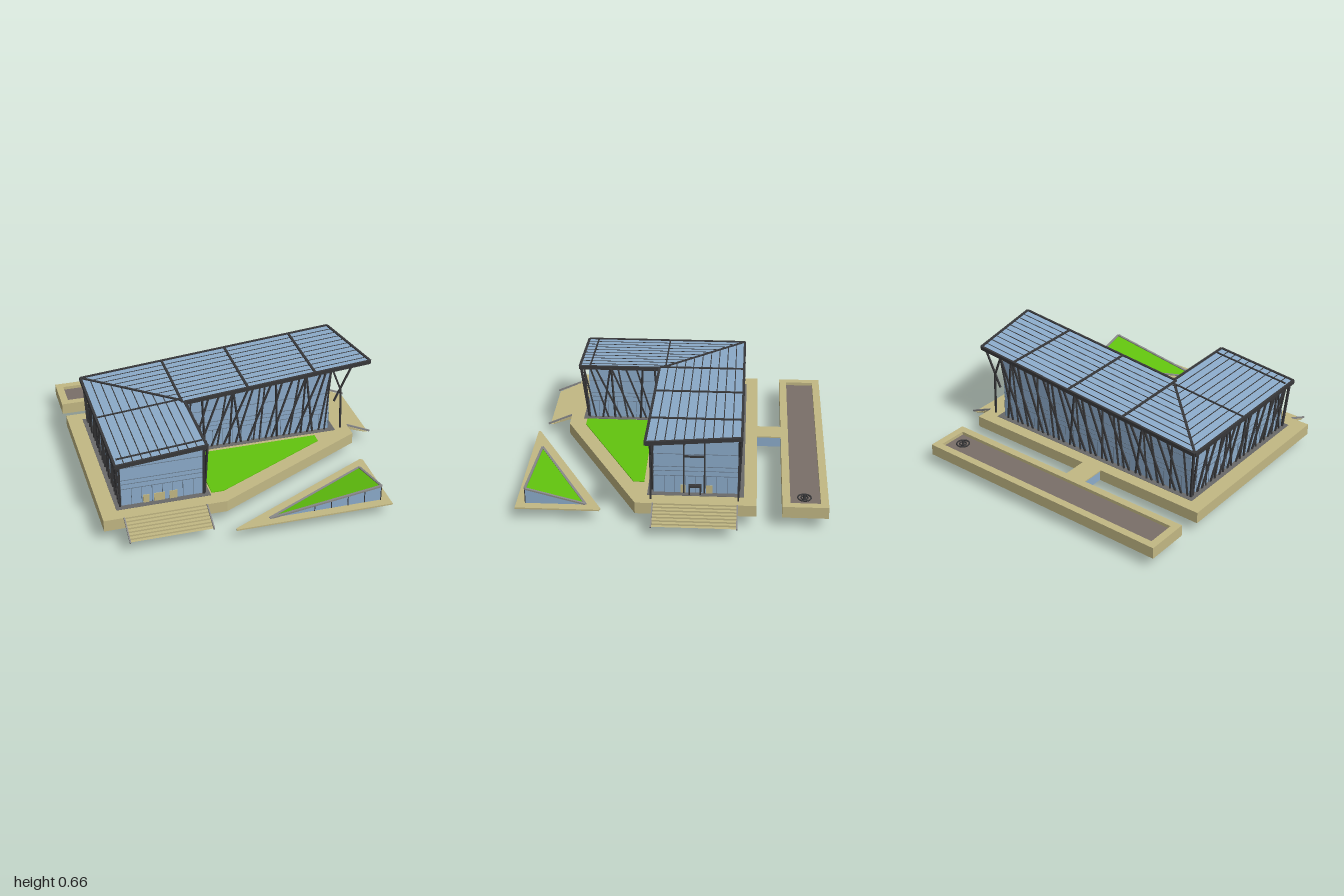
import * as THREE from 'three';

const mat = (color, extra = {}) => new THREE.MeshStandardMaterial({ color, ...extra });
const M = {
  tan: mat(0xc2b884), glass: mat(0x8caccb), dark: mat(0x38383a), line: mat(0x66788a),
  grass: mat(0x62c40e), water: mat(0x7a6f68), floor: mat(0x6a6a6a), trim: mat(0x8a8a8a),
};
const DECK = 0.162, BASE = 0.085;
const roofY = x => 0.5 + 0.086 * (x + 0.9);

export function createModel() {
  const root = new THREE.Group();
  const add = (name, geo, m, parent = root) => {
    const mesh = new THREE.Mesh(geo, m);
    mesh.name = name;
    parent.add(mesh);
    return mesh;
  };
  const group = name => {
    const g = new THREE.Group();
    g.name = name;
    root.add(g);
    return g;
  };
  const shapeOf = pts => new THREE.Shape(pts.map(p => new THREE.Vector2(...p)));
  const rect = (x0, z0, x1, z1) => [[x0, z0], [x1, z0], [x1, z1], [x0, z1]];

  // horizontal slab from an x/z outline, going down from its top
  const slab = (name, pts, top, thick, m, hole, parent) => {
    const s = shapeOf(pts);
    if (hole) s.holes.push(new THREE.Path(hole.map(p => new THREE.Vector2(...p))));
    const g = new THREE.ExtrudeGeometry(s, { depth: thick, bevelEnabled: false });
    g.rotateX(Math.PI / 2).translate(0, top, 0);
    return add(name, g, m, parent);
  };
  // upright prism from an x/y outline, between two z values
  const prism = (name, pts, z0, z1, m, parent) => {
    const g = new THREE.ExtrudeGeometry(shapeOf(pts), { depth: z1 - z0, bevelEnabled: false });
    return add(name, g.translate(0, 0, z0), m, parent);
  };
  // square bar between two points
  const bar = (name, a, b, w, h, m, parent) => {
    const A = new THREE.Vector3(...a), B = new THREE.Vector3(...b);
    const mesh = add(name, new THREE.BoxGeometry(w, h, A.distanceTo(B)), m, parent);
    mesh.position.copy(A).lerp(B, 0.5);
    mesh.lookAt(B);
    return mesh;
  };
  const box = (name, x0, x1, y0, y1, z0, z1, m, parent) => {
    const mesh = add(name, new THREE.BoxGeometry(x1 - x0, y1 - y0, z1 - z0), m, parent);
    mesh.position.set((x0 + x1) / 2, (y0 + y1) / 2, (z0 + z1) / 2);
    return mesh;
  };

  // platform: thin deck on a ring of walls, open underneath
  const outline = [[-1, -0.54], [0.83, -0.54], [0.83, 0.22], [-0.21, 0.76], [-1, 0.76]];
  const inner = [[-0.99, -0.53], [0.82, -0.53], [0.82, 0.214], [-0.212, 0.75], [-0.99, 0.75]];
  slab('platformDeck', outline, DECK, 0.008, M.tan);
  slab('platformWalls', outline, DECK - 0.008, DECK - 0.008 - BASE, M.tan, inner);
  const foot = [[-0.9, -0.46], [0.73, -0.46], [0.73, 0.15], [-0.29, 0.15], [-0.29, 0.67], [-0.9, 0.67]];
  slab('buildingFloor', foot, DECK + 0.002, 0.014, M.floor);
  slab('lawn', [[-0.28, 0.18], [0.57, 0.18], [0.57, 0.25], [-0.2, 0.645], [-0.28, 0.645]],
    DECK + 0.005, 0.006, M.grass);

  // pool with its bridge and fountain
  slab('poolWalls', rect(-1, -0.99, 0.83, -0.7), DECK, DECK - BASE, M.tan, rect(-0.95, -0.94, 0.78, -0.75));
  slab('poolWater', rect(-0.95, -0.94, 0.78, -0.75), 0.14, 0.02, M.water);
  slab('bridgeDeck', rect(-0.24, -0.7, -0.09, -0.54), DECK, 0.008, M.tan);
  box('bridgeGlass', -0.235, -0.095, BASE, DECK - 0.008, -0.7, -0.54, M.glass);
  for (const r of [0.042, 0.022]) {
    const ring = add('fountainRing', new THREE.TorusGeometry(r, 0.005, 6, 20), M.dark);
    ring.rotation.x = Math.PI / 2;
    ring.position.set(0.69, 0.15, -0.84);
  }
  add('fountainJet', new THREE.CylinderGeometry(0.006, 0.01, 0.04, 10), M.dark).position.set(0.69, 0.155, -0.84);

  // entrance stairs, running out along +x and then turned for the front flight
  const stairs = (name) => {
    const g = group(name), n = 7, run = 0.155 / n, rise = (DECK - BASE) / n, w = 0.265;
    const pts = [[0, DECK - rise]];
    for (let i = 0; i < n; i++) {
      pts.push([(i + 1) * run, DECK - (i + 1) * rise]);
      if (i < n - 1) pts.push([(i + 1) * run, DECK - (i + 2) * rise]);
    }
    pts.push([0.14, BASE - 0.001], [0, DECK - 0.03]);
    prism('steps', pts, -w, w, M.tan, g);
    for (const s of [-1, 1])
      bar('stringer', [0, DECK, s * w], [0.168, BASE + 0.004, s * w], 0.008, 0.012, M.trim, g);
    return g;
  };
  stairs('sideStairs').position.set(0.83, 0, -0.155);
  const front = stairs('frontStairs');
  front.rotation.y = -Math.PI / 2;
  front.position.set(-0.605, 0, 0.76);

  // glazed L-shaped building under the sloping roof
  const wallTop = x => roofY(x) - 0.008;
  const profile = (x0, x1) => [[x0, DECK], [x1, DECK], [x1, wallTop(x1)], [x0, wallTop(x0)]];
  prism('mainHall', profile(-0.86, 0.69), -0.42, 0.11, M.glass);
  prism('frontWing', profile(-0.86, -0.33), 0.11, 0.63, M.glass);

  // fine glazing bars on every wall: start, end in x/z
  const walls = [
    [[-0.86, 0.632], [-0.33, 0.632]], [[-0.328, 0.63], [-0.328, 0.11]], [[-0.33, 0.112], [0.69, 0.112]],
    [[0.692, 0.11], [0.692, -0.42]], [[0.69, -0.422], [-0.86, -0.422]], [[-0.862, -0.42], [-0.862, 0.63]],
  ];
  const glazing = group('glazingBars');
  for (const [[x0, z0], [x1, z1]] of walls) {
    const n = Math.round(Math.hypot(x1 - x0, z1 - z0) / 0.066);
    for (let i = 0; i <= n; i++) {
      const x = x0 + (x1 - x0) * i / n, z = z0 + (z1 - z0) * i / n;
      bar('mullion', [x, DECK, z], [x, 0.285, z], 0.003, 0.003, M.line, glazing);
    }
    for (const y of [0.285, 0.32, 0.35, 0.44])
      bar('transom', [x0, y, z0], [x1, y, z1], 0.003, 0.003, M.line, glazing);
  }

  // doors on the front wing and the hall end
  const doors = group('doors');
  for (const [a, b] of [[-0.72, -0.68], [-0.65, -0.58], [-0.55, -0.5]])
    box('frontDoor', a, b, DECK, 0.22, 0.63, 0.635, M.tan, doors);
  for (const [a, b] of [[-0.26, -0.22], [-0.09, -0.06]])
    box('sideDoor', 0.69, 0.695, DECK, 0.22, a, b, M.tan, doors);
  for (const z of [-0.185, -0.115]) box('portalPost', 0.69, 0.72, DECK, 0.225, z - 0.005, z + 0.005, M.dark, doors);
  box('portalLintel', 0.69, 0.72, 0.215, 0.227, -0.19, -0.11, M.dark, doors);
  for (const z of [-0.08, -0.21]) box('entrancePost', 0.69, 0.7, DECK, 0.63, z - 0.005, z + 0.005, M.dark, doors);
  box('entranceBeam', 0.69, 0.7, 0.42, 0.432, -0.21, -0.08, M.dark, doors);

  // sloping roof sheet
  const endX = z => 0.936 + (z - 0) * 0.172;
  const roofPts = [[-0.9, -0.44], [endX(-0.44), -0.44], [endX(0.14), 0.14], [-0.32, 0.14], [-0.32, 0.69], [-0.9, 0.69]];
  const roof = slab('roofGlass', roofPts, 0, 0.01, M.glass);
  const p = roof.geometry.attributes.position;
  for (let i = 0; i < p.count; i++) p.setY(i, p.getY(i) + roofY(p.getX(i)));
  roof.geometry.computeVertexNormals();

  // roof edge, ribs, hip and purlins
  const frame = group('roofFrame');
  const rib = (name, x0, z0, x1, z1, w = 0.016, h = 0.026) =>
    bar(name, [x0, roofY(x0) - 0.006, z0], [x1, roofY(x1) - 0.006, z1], w, h, M.dark, frame);
  roofPts.forEach(([x, z], i) => rib('roofEdge', x, z, ...roofPts[(i + 1) % roofPts.length]));
  for (const x of [-0.335, 0.11, 0.575]) rib('roofRib', x, -0.44, x, 0.14);
  rib('wingRib', -0.9, 0.1, -0.33, 0.1, 0.01);
  rib('wingRib', -0.88, 0.62, -0.33, 0.62, 0.01);
  rib('roofHip', -0.89, -0.43, -0.34, 0.11);
  for (let i = 1; i < 10; i++) {
    const z = -0.44 + i * 0.058, x = -0.9 + i * 0.058;
    rib('hallPurlin', x, z, endX(z), z, 0.006, 0.016);
    rib('wingPurlin', x, z, x, 0.69, 0.006, 0.016);
  }

  // irregular slanted struts: position and lean along each wall
  const leans = [0.03, 0.11, 0.14, -0.02, 0.15, 0.06, 0.17, 0.02, 0.12, -0.06, 0.16, 0.04];
  const struts = group('wallStruts');
  const strutRow = (a, b, out, n, dir) => {
    const len = Math.hypot(b[0] - a[0], b[1] - a[1]);
    for (let i = 0; i < n; i++) {
      const t0 = (i + 0.3) / n, t1 = THREE.MathUtils.clamp(t0 + dir * leans[i % 12] / len, 0, 1);
      const at = (t, k) => [a[0] + (b[0] - a[0]) * t + out[0] * k, a[1] + (b[1] - a[1]) * t + out[1] * k];
      const [x0, z0] = at(t0, 0.008), [x1, z1] = at(t1, 0.022);
      bar('strut', [x0, DECK - 0.01, z0], [x1, roofY(x1) - 0.01, z1], 0.011, 0.011, M.dark, struts);
    }
  };
  strutRow([-0.32, 0.11], [0.69, 0.11], [0, 1], 24, 1);
  strutRow([-0.86, -0.42], [0.69, -0.42], [0, -1], 34, 1);
  strutRow([-0.86, -0.42], [-0.86, 0.63], [-1, 0], 22, 1);
  strutRow([-0.33, 0.13], [-0.33, 0.66], [1, 0], 12, 1);

  // corner posts, legs below the deck, and forked posts under the overhang
  const posts = group('posts');
  const post = (a, b, w = 0.014) => bar('post', a, b, w, w, M.dark, posts);
  for (const x of [-0.87, -0.33]) post([x, DECK, 0.635], [x - 0.008, roofY(x) - 0.01, 0.685]);
  post([-0.87, DECK, -0.425], [-0.885, roofY(-0.9), -0.43]);
  post([-0.325, DECK, 0.12], [-0.325, roofY(-0.33), 0.135], 0.022);
  for (const [x, z] of [[-0.85, -0.425], [-0.85, 0.14], [-0.335, 0.14], [0.07, 0.14]])
    post([x, DECK, z], [x - 0.012, 0.005, z], 0.01);
  for (const z of [-0.425, 0.125]) {
    post([0.775, DECK, z], [0.765, 0.46, z], 0.011);
    post([0.765, 0.46, z], [0.7, roofY(0.7) - 0.01, z], 0.011);
    post([0.72, 0.38, z], [0.84, roofY(0.84) - 0.01, z], 0.011);
  }

  // detached wedge pavilion: ring of paving, two glass walls, tilted lawn
  const tri = [[0.02, 0.92], [0.76, 0.54], [0.76, 0.92]];
  slab('wedgePaving', [[-0.21, 0.965], [0.8, 0.44], [0.82, 0.45], [0.82, 0.98], [-0.21, 0.98]], 0.095, 0.01, M.tan, tri);
  const low = 0.095, high = 0.2;
  const corners = [[0.02, low, 0.92], [0.76, low + 0.005, 0.54], [0.76, high, 0.92]];
  const face = (name, pts, m) => {
    const g = new THREE.BufferGeometry();
    g.setAttribute('position', new THREE.Float32BufferAttribute(pts.flat(), 3));
    g.computeVertexNormals();
    m = m.clone();
    m.side = THREE.DoubleSide;
    return add(name, g, m);
  };
  const [A, B, C] = corners, D = [0.76, BASE, 0.92];
  face('wedgeLawn', [A, C, B], M.grass);
  face('wedgeFrontGlass', [A, D, C], M.glass);
  face('wedgeSideGlass', [D, B, C], M.glass);
  corners.forEach((c, i) => bar('wedgeTrim', c, corners[(i + 1) % 3], 0.016, 0.01, M.trim));
  for (const t of [0.4, 0.55, 0.7, 0.85, 1])
    bar('wedgeMullion', [0.02 + 0.74 * t, BASE, 0.921], [0.02 + 0.74 * t, low + (high - low) * t, 0.921], 0.005, 0.005, M.dark);

  return root;
}
